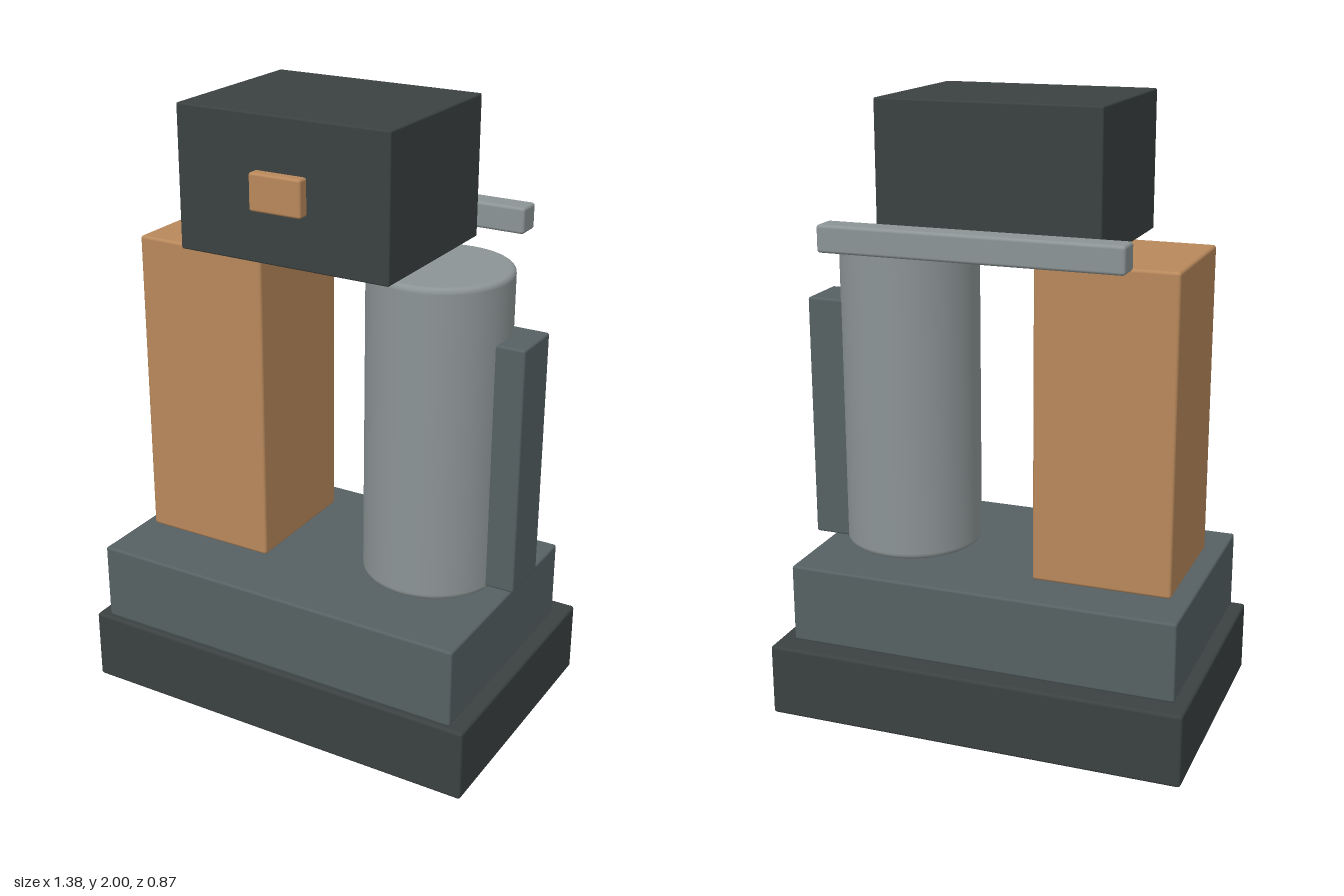
import * as THREE from 'three';
import { RoundedBoxGeometry } from 'three/addons/geometries/RoundedBoxGeometry.js';

const material = (name, color) => {
  const m = new THREE.MeshStandardMaterial({ color });
  m.name = name;
  return m;
};

export function createModel() {
  const model = new THREE.Group();
  model.name = 'columnMachine';

  const charcoal = material('charcoal', 0x3b4141);
  const slate = material('slate', 0x566163);
  const steel = material('steel', 0x8c9495);
  const copper = material('copper', 0xb8885b);

  const add = (name, geometry, mat) => {
    const mesh = new THREE.Mesh(geometry, mat);
    mesh.name = name;
    model.add(mesh);
    return mesh;
  };

  // Softly bevelled box given by its limits on each axis
  const block = (name, mat, [x0, x1], [y0, y1], [z0, z1], bevel = 0.01) => {
    const geometry = new RoundedBoxGeometry(x1 - x0, y1 - y0, z1 - z0, 3, bevel);
    add(name, geometry, mat).position.set((x0 + x1) / 2, (y0 + y1) / 2, (z0 + z1) / 2);
  };

  // Upright cylinder with rounded rims
  const column = (name, mat, x, z, radius, y0, y1, bevel) => {
    const points = [new THREE.Vector2(0, y0), new THREE.Vector2(radius - bevel - 0.002, y0)];
    const rim = (cy, from) => {
      for (let i = 0; i <= 4; i++) {
        const a = from + (i / 4) * (Math.PI / 2);
        points.push(new THREE.Vector2(radius - bevel + Math.cos(a) * bevel, cy + Math.sin(a) * bevel));
      }
    };
    rim(y0 + bevel, -Math.PI / 2);
    points.push(new THREE.Vector2(radius, y0 + bevel + 0.002));
    points.push(new THREE.Vector2(radius, y1 - bevel - 0.002));
    rim(y1 - bevel, 0);
    points.push(new THREE.Vector2(radius - bevel - 0.002, y1), new THREE.Vector2(0, y1));
    add(name, new THREE.LatheGeometry(points, 64), mat).position.set(x, 0, z);
  };

  // Stepped base
  block('base', charcoal, [-0.69, 0.69], [0, 0.24], [-0.435, 0.435]);
  block('plinth', slate, [-0.645, 0.64], [0.24, 0.5], [-0.36, 0.42], 0.008);

  // Two uprights and the strip beside the round one
  block('squareColumn', copper, [-0.59, -0.14], [0.515, 1.535], [-0.225, 0.22]);
  column('roundColumn', steel, 0.36, 0, 0.225, 0.515, 1.535, 0.016);
  block('sideStrip', slate, [0.54, 0.67], [0.53, 1.34], [-0.12, 0.06], 0.008);

  // Head with front button and rear bar
  block('head', charcoal, [-0.36, 0.355], [1.555, 2], [-0.255, 0.315], 0.006);
  block('frontButton', copper, [-0.09, 0.085], [1.72, 1.835], [0.29, 0.35], 0.008);
  block('rearBar', steel, [-0.48, 0.475], [1.555, 1.64], [-0.42, -0.335]);

  return model;
}
